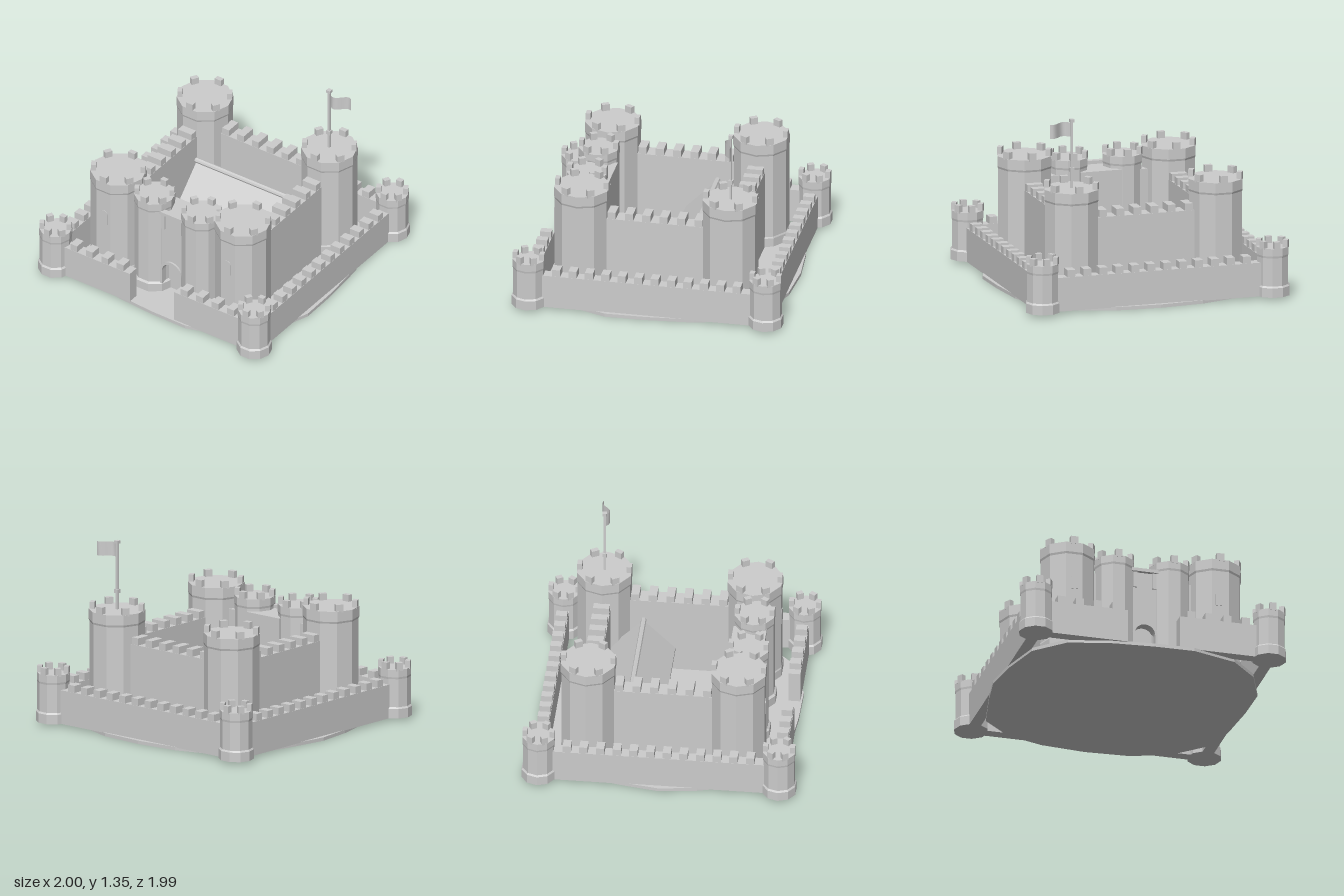
import * as THREE from 'three';

export function createModel() {
  const castle = new THREE.Group();
  castle.name = 'castle';
  const stone = new THREE.MeshStandardMaterial({ color: 0xcccccc, flatShading: true });
  stone.name = 'stone';
  const cloth = new THREE.MeshStandardMaterial({ color: 0xcccccc, side: THREE.DoubleSide });
  cloth.name = 'cloth';

  function add(name, geometry, parent = castle, material = stone) {
    const mesh = new THREE.Mesh(geometry, material);
    mesh.name = name;
    parent.add(mesh);
    return mesh;
  }

  // Box given by its lowest and highest corners
  function box(name, x0, x1, y0, y1, z0, z1, parent) {
    const g = new THREE.BoxGeometry(x1 - x0, y1 - y0, z1 - z0);
    g.translate((x0 + x1) / 2, (y0 + y1) / 2, (z0 + z1) / 2);
    return add(name, g, parent);
  }

  function group(name, x = 0, z = 0) {
    const g = new THREE.Group();
    g.name = name;
    g.position.set(x, 0, z);
    castle.add(g);
    return g;
  }

  // Ten-sided tower turned from a profile, with six merlons on its rim
  function tower(name, x, z, r, top, footR, footTop, bandDrop) {
    const g = group(name, x, z);
    const body = r * 0.975;
    const profile = [
      [0, 0.02], [footR, 0.02], [footR, footTop], [body, footTop + 0.012],
      [body, top - bandDrop], [r, top - bandDrop + 0.015], [r, top], [0, top],
    ].map(([a, b]) => new THREE.Vector2(a, b));
    add('towerBody', new THREE.LatheGeometry(profile, 10, Math.PI / 2), g);
    const w = 0.035 + r * 0.1;
    for (let i = 0; i < 6; i++) {
      const m = new THREE.BoxGeometry(w, 0.06, 0.036);
      m.translate(0, top + 0.02, r * 0.951 - 0.016);
      m.rotateY((i * Math.PI) / 3);
      add('towerMerlon', m, g);
    }
  }

  // Wall along x, turned for the sides, with evenly spaced merlons
  function wall(name, x, z, angle, length, depth, top, count, step) {
    const g = group(name, x, z);
    g.rotation.y = angle;
    box('wallBody', -length / 2, length / 2, 0.02, top, -depth / 2, depth / 2, g);
    for (let i = 0; i < count; i++) {
      const c = (i - (count - 1) / 2) * step;
      box('wallMerlon', c - 0.03, c + 0.03, top - 0.005, top + 0.052, -depth / 2 + 0.002, depth / 2 - 0.002, g);
    }
  }

  // Arch outline: straight sides with a round head
  function arch(Type, halfWidth, bottom, spring) {
    const s = new Type();
    s.moveTo(-halfWidth, bottom);
    s.lineTo(halfWidth, bottom);
    s.lineTo(halfWidth, spring);
    s.absarc(0, spring, halfWidth, 0, Math.PI, false);
    s.closePath();
    return s;
  }
  const extrude = (shape, depth) =>
    new THREE.ExtrudeGeometry(shape, { depth, bevelEnabled: false, curveSegments: 8 });

  // Uneven ground slab
  const outline = [
    [0, -0.95], [0.33, -0.93], [0.61, -0.83], [0.83, -0.62], [0.91, -0.35], [0.94, 0],
    [0.945, 0.3], [0.83, 0.61], [0.63, 0.82], [0.3, 0.925], [0, 0.92], [-0.3, 0.895],
    [-0.62, 0.82], [-0.83, 0.61], [-0.915, 0.28], [-0.95, 0], [-0.91, -0.25],
    [-0.83, -0.63], [-0.61, -0.83], [-0.33, -0.92],
  ].map(([x, z]) => new THREE.Vector2(x, -z));
  const slab = extrude(new THREE.Shape(outline), 0.025);
  slab.rotateX(-Math.PI / 2);
  add('ground', slab);

  // Outer ring: corner towers, long walls and the split front wall
  for (const sx of [-1, 1]) {
    for (const sz of [-1, 1]) {
      tower('cornerTower', sx * 0.873, sz * 0.873, 0.12, 0.38, 0.127, 0.09, 0.07);
      tower('keepTower', sx * 0.547, sz * 0.547, 0.206, 0.84, 0.206, 0.09, 0.09);
    }
    wall('outerSideWall', sx * 0.873, 0, Math.PI / 2, 1.56, 0.086, 0.27, 12, 0.121);
    wall('outerFrontWall', sx * 0.485, 0.868, 0, 0.58, 0.086, 0.27, 4, 0.136);
    wall('innerSideWall', sx * 0.547, 0, Math.PI / 2, 0.8, 0.122, 0.62, 6, 0.128);
  }
  wall('outerBackWall', 0, -0.873, 0, 1.56, 0.086, 0.27, 12, 0.121);
  wall('innerBackWall', 0, -0.547, 0, 0.8, 0.122, 0.62, 6, 0.13);

  // Gatehouse between two slimmer towers
  for (const sx of [-1, 1]) {
    tower('gateTower', sx * 0.207, 0.58, 0.15, 0.79, 0.162, 0.09, 0.07);
    box('gateLink', sx * 0.36 - 0.05, sx * 0.36 + 0.05, 0.02, 0.68, 0.48, 0.6);
    box('gateCorbel', sx * 0.072 - 0.015, sx * 0.072 + 0.015, 0.58, 0.7, 0.64, 0.672);
  }
  box('gateBlock', -0.155, 0.155, 0.02, 0.7, 0.43, 0.6);
  const front = new THREE.Shape();
  front.moveTo(-0.11, 0.02);
  front.lineTo(-0.076, 0.02);
  front.lineTo(-0.076, 0.21);
  front.absarc(0, 0.21, 0.076, Math.PI, 0, true);
  front.lineTo(0.076, 0.02);
  front.lineTo(0.11, 0.02);
  front.lineTo(0.11, 0.7);
  front.lineTo(-0.11, 0.7);
  front.closePath();
  add('gateFront', extrude(front, 0.06)).position.z = 0.6;
  const trim = new THREE.Shape();
  trim.moveTo(0.076, 0.02);
  trim.lineTo(0.092, 0.02);
  trim.lineTo(0.092, 0.215);
  trim.absarc(0, 0.215, 0.092, 0, Math.PI, false);
  trim.lineTo(-0.092, 0.02);
  trim.lineTo(-0.076, 0.02);
  trim.lineTo(-0.076, 0.21);
  trim.absarc(0, 0.21, 0.076, Math.PI, 0, true);
  trim.closePath();
  add('gateArchTrim', extrude(trim, 0.02)).position.z = 0.655;
  box('gateCornice', -0.1, 0.1, 0.705, 0.73, 0.635, 0.678);

  // Arched window plates on the front keep towers
  for (const sx of [-1, 1]) {
    add('towerWindow', extrude(arch(THREE.Shape, 0.031, 0.475, 0.56), 0.008))
      .position.set(sx * 0.542, 0, 0.734);
  }

  // Great hall with a steep gabled roof
  const gable = new THREE.Shape();
  [[-0.18, 0.02], [0.18, 0.02], [0.18, 0.3], [0, 0.48], [-0.18, 0.3]]
    .forEach(([z, y], i) => (i ? gable.lineTo(z, y) : gable.moveTo(z, y)));
  const hall = extrude(gable, 0.72);
  hall.rotateY(-Math.PI / 2);
  hall.translate(0.36, 0, -0.25);
  add('hallBody', hall);
  const roof = new THREE.Shape();
  [[-0.23, 0.25], [0, 0.48], [0.23, 0.25], [0.23, 0.272], [0, 0.502], [-0.23, 0.272]]
    .forEach(([z, y], i) => (i ? roof.lineTo(z, y) : roof.moveTo(z, y)));
  const roofGeo = extrude(roof, 0.82);
  roofGeo.rotateY(-Math.PI / 2);
  roofGeo.translate(0.41, 0, -0.25);
  add('hallRoof', roofGeo);
  const ridge = new THREE.CylinderGeometry(0.02, 0.02, 0.84, 8);
  ridge.rotateZ(Math.PI / 2);
  ridge.translate(0, 0.502, -0.25);
  add('roofRidge', ridge);

  // Flagpole and waving flag on the back left tower
  const pole = group('flagpole', 0.545, -0.547);
  box('poleShaft', -0.008, 0.008, 0.84, 1.335, -0.008, 0.008, pole);
  box('poleCollar', -0.016, 0.016, 0.96, 0.99, -0.016, 0.016, pole);
  box('poleCap', -0.016, 0.016, 1.328, 1.35, -0.016, 0.016, pole);
  const flag = new THREE.PlaneGeometry(0.165, 0.105, 10, 1);
  const p = flag.attributes.position;
  for (let i = 0; i < p.count; i++) {
    const t = p.getX(i) / 0.165 + 0.5;
    p.setZ(i, 0.032 * Math.sin(t * Math.PI * 1.7));
  }
  flag.computeVertexNormals();
  flag.translate(0.09, 1.272, 0);
  add('flag', flag, pole, cloth);

  return castle;
}
